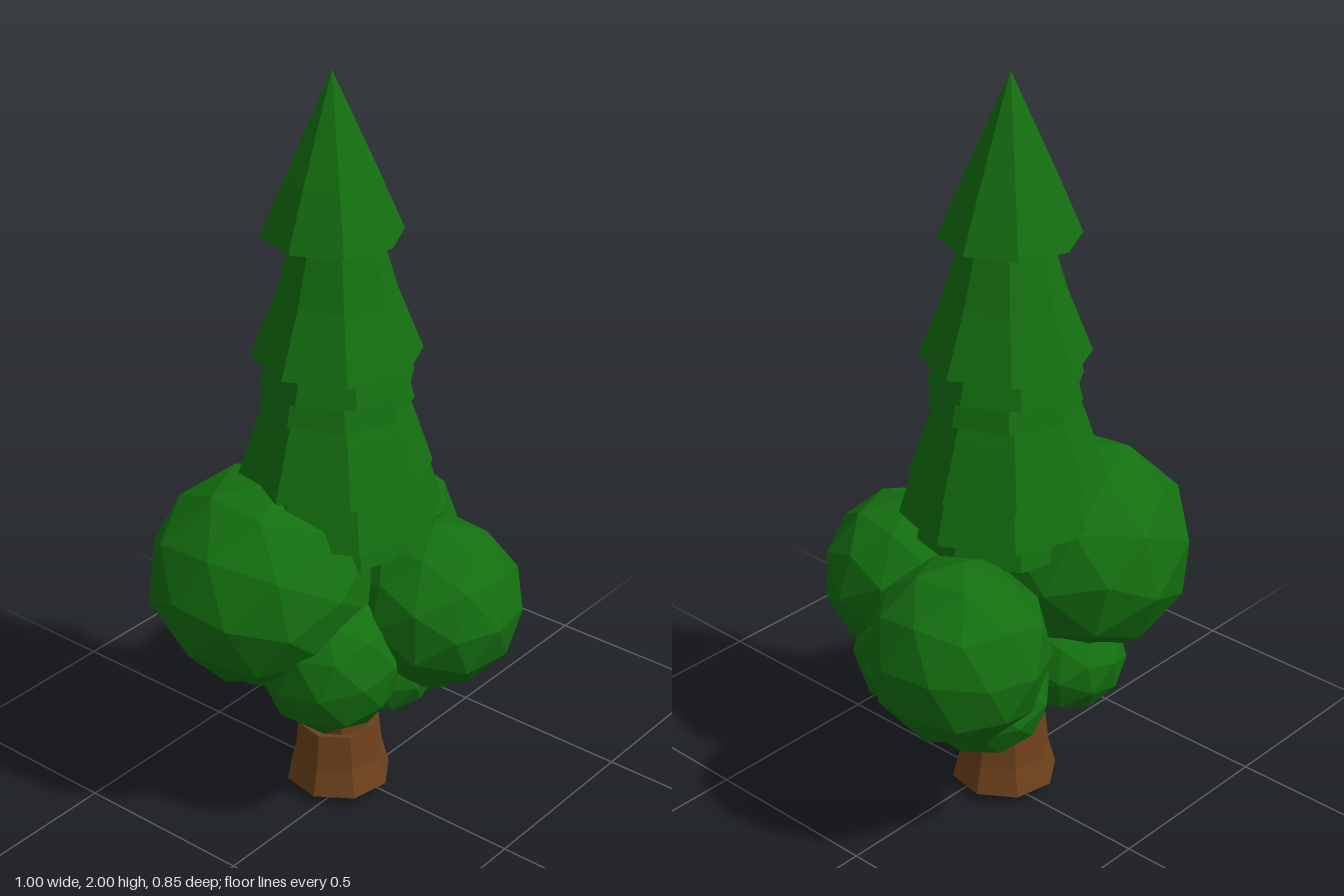
import * as THREE from 'three';

const leaf = new THREE.MeshStandardMaterial({ color: 0x147010, flatShading: true });
const bark = new THREE.MeshStandardMaterial({ color: 0x70421c, flatShading: true });

function add(parent, name, geometry, material, x = 0, y = 0, z = 0) {
  const mesh = new THREE.Mesh(geometry, material);
  mesh.name = name;
  mesh.position.set(x, y, z);
  parent.add(mesh);
  return mesh;
}

// Eight-sided turned form; profile runs from the underside up as [radius, y]
const turned = (profile) =>
  new THREE.LatheGeometry(profile.map(([r, y]) => new THREE.Vector2(r, y)), 8);

// Tapered limb between two points
function limb(parent, from, to, r0, r1) {
  const a = new THREE.Vector3(...from), b = new THREE.Vector3(...to);
  const dir = b.clone().sub(a);
  const mesh = add(parent, 'branch', new THREE.CylinderGeometry(r1, r0, dir.length(), 6), bark);
  mesh.position.copy(a).add(b).multiplyScalar(0.5);
  mesh.quaternion.setFromUnitVectors(new THREE.Vector3(0, 1, 0), dir.normalize());
}

export function createModel() {
  const tree = new THREE.Group();
  tree.name = 'tree';

  // Trunk: inner core that flares at the top, with a wider bark skirt around its foot
  const trunk = new THREE.Group();
  trunk.name = 'trunk';
  trunk.position.set(-0.025, 0, -0.04);
  tree.add(trunk);
  add(trunk, 'trunkCore', turned([[0, 0], [0.085, 0], [0.085, 0.15], [0.09, 0.22],
    [0.13, 0.3], [0.15, 0.38], [0, 0.42]]), bark);
  const skirt = add(trunk, 'barkSkirt', turned([[0, 0.03], [0.143, 0.025], [0.123, 0.1],
    [0.112, 0.2], [0.09, 0.195]]), bark);
  skirt.rotation.y = 0.2;

  // Branches reaching into the leaf clumps
  for (const to of [[-0.2, 0.55, -0.1], [0.25, 0.5, -0.12], [0.1, 0.5, 0.15], [-0.18, 0.46, 0.04]])
    limb(tree, [-0.02, 0.2, -0.04], to, 0.06, 0.06);

  // Round leaf clumps: x, y, z, horizontal radius, vertical radius, turn
  const clumps = [
    [-0.207, 0.69, -0.14, 0.298, 0.288, 0.4],
    [0.27, 0.585, -0.152, 0.236, 0.246, 1.7],
    [0.09, 0.6, 0.192, 0.23, 0.228, 3.0],
    [-0.16, 0.49, 0.045, 0.19, 0.205, 4.3],
    [0.15, 0.45, 0.068, 0.2, 0.185, 5.6],
    [-0.09, 0.43, -0.195, 0.16, 0.15, 6.9],
    [0.19, 0.43, -0.16, 0.175, 0.16, 8.2],
    [0.0, 0.43, 0.08, 0.16, 0.15, 9.5],
  ];
  clumps.forEach(([x, y, z, r, h, turn], i) => {
    const geometry = new THREE.IcosahedronGeometry(1, 1);
    geometry.rotateX(i * 0.7 + 0.2).rotateY(turn).scale(r, h, r);
    add(tree, 'leafClump', geometry, leaf, x, y, z);
  });

  // Overlapping conical tiers:
  // bottom y, bottom radius, middle y, middle radius, top y, top radius, turn, z
  const crown = new THREE.Group();
  crown.name = 'crown';
  crown.position.x = -0.013;
  tree.add(crown);
  const tiers = [
    [1.59, 0.178, 1.74, 0.115, 2.0, 0, 0.06, -0.063],
    [1.275, 0.217, 1.44, 0.152, 1.62, 0.1, 0.02, -0.05],
    [1.205, 0.2, 1.27, 0.182, 1.36, 0.14, 0.15, -0.05],
    [1.14, 0.195, 1.2, 0.18, 1.3, 0.15, 0, -0.05],
    [0.95, 0.25, 1.1, 0.2, 1.26, 0.14, 0.05, -0.055],
    [0.84, 0.264, 0.95, 0.232, 1.05, 0.18, 0.08, -0.04],
    [0.77, 0.225, 0.85, 0.21, 0.95, 0.18, 0.15, -0.045],
  ];
  for (const [y0, r0, y1, r1, y2, r2, turn, z] of tiers) {
    const geometry = turned([[0, y0 + 0.03], [r0, y0], [r1, y1], [r2, y2], [0, y2]]);
    add(crown, 'crownTier', geometry, leaf, 0, 0, z).rotation.y = turn;
  }
  return tree;
}
